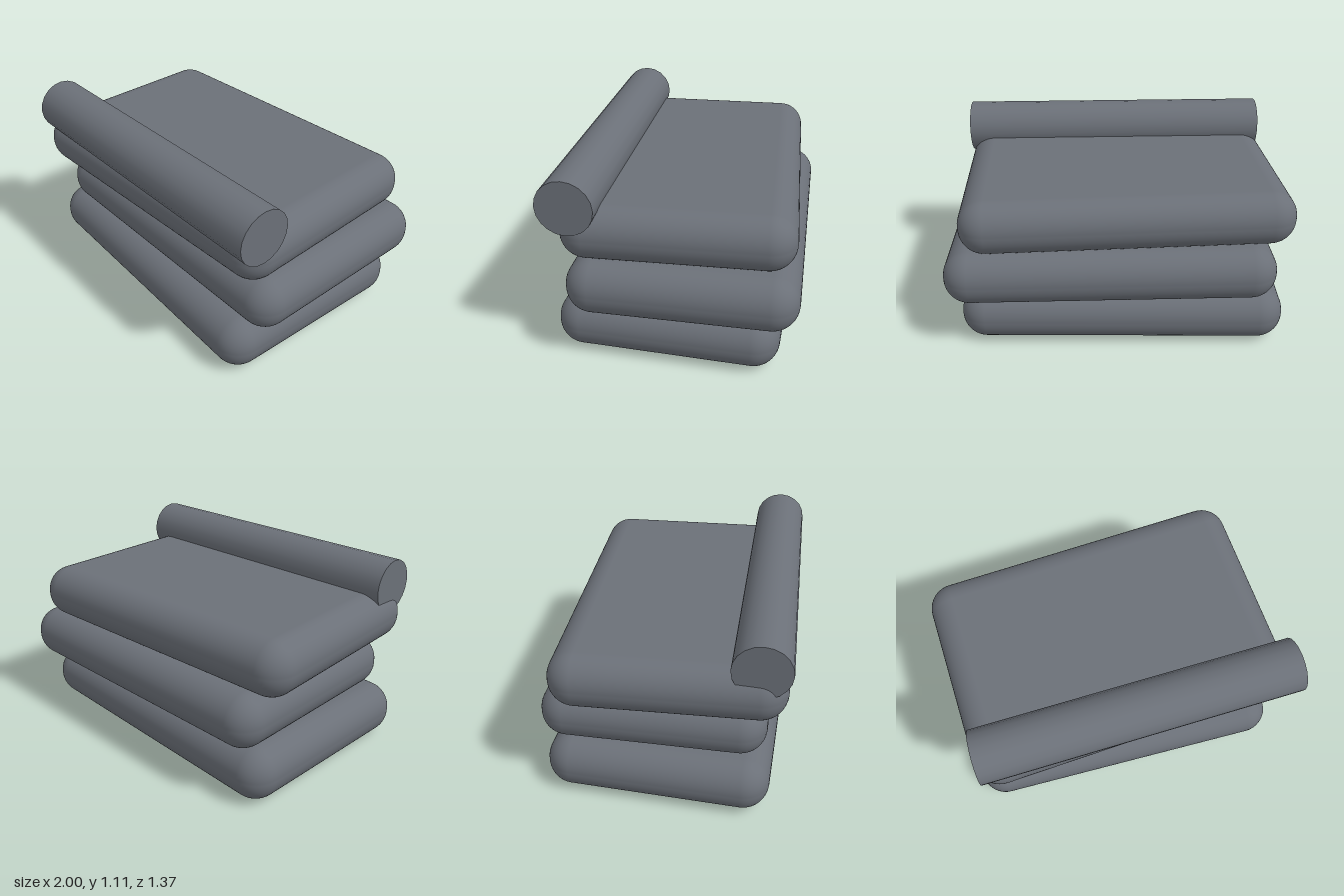
import * as THREE from 'three';
import { RoundedBoxGeometry } from 'three/addons/geometries/RoundedBoxGeometry.js';

export function createModel() {
  const model = new THREE.Group();
  const slate = new THREE.MeshStandardMaterial({ color: 0x6b7078 });
  slate.name = 'slate grey';

  // Three stacked cushions, each slightly shifted and turned
  const cushion = new RoundedBoxGeometry(1.9, 0.315, 1.265, 6, 0.15);
  const layers = [
    ['bottomCushion', -0.035, 0.158, 0.01, -0.038],
    ['middleCushion', 0.05, 0.462, -0.055, 0],
    ['topCushion', -0.035, 0.764, 0.01, 0.038],
  ];
  for (const [name, x, y, z, turn] of layers) {
    const mesh = new THREE.Mesh(cushion, slate);
    mesh.name = name;
    mesh.position.set(x, y, z);
    mesh.rotation.y = turn;
    model.add(mesh);
  }

  // Bolster roll lying along the front edge
  const roll = new THREE.Mesh(new THREE.CylinderGeometry(0.156, 0.156, 1.866, 20), slate);
  roll.name = 'bolsterRoll';
  roll.rotation.z = Math.PI / 2;
  roll.position.set(0, 0.953, 0.53);
  model.add(roll);

  return model;
}
